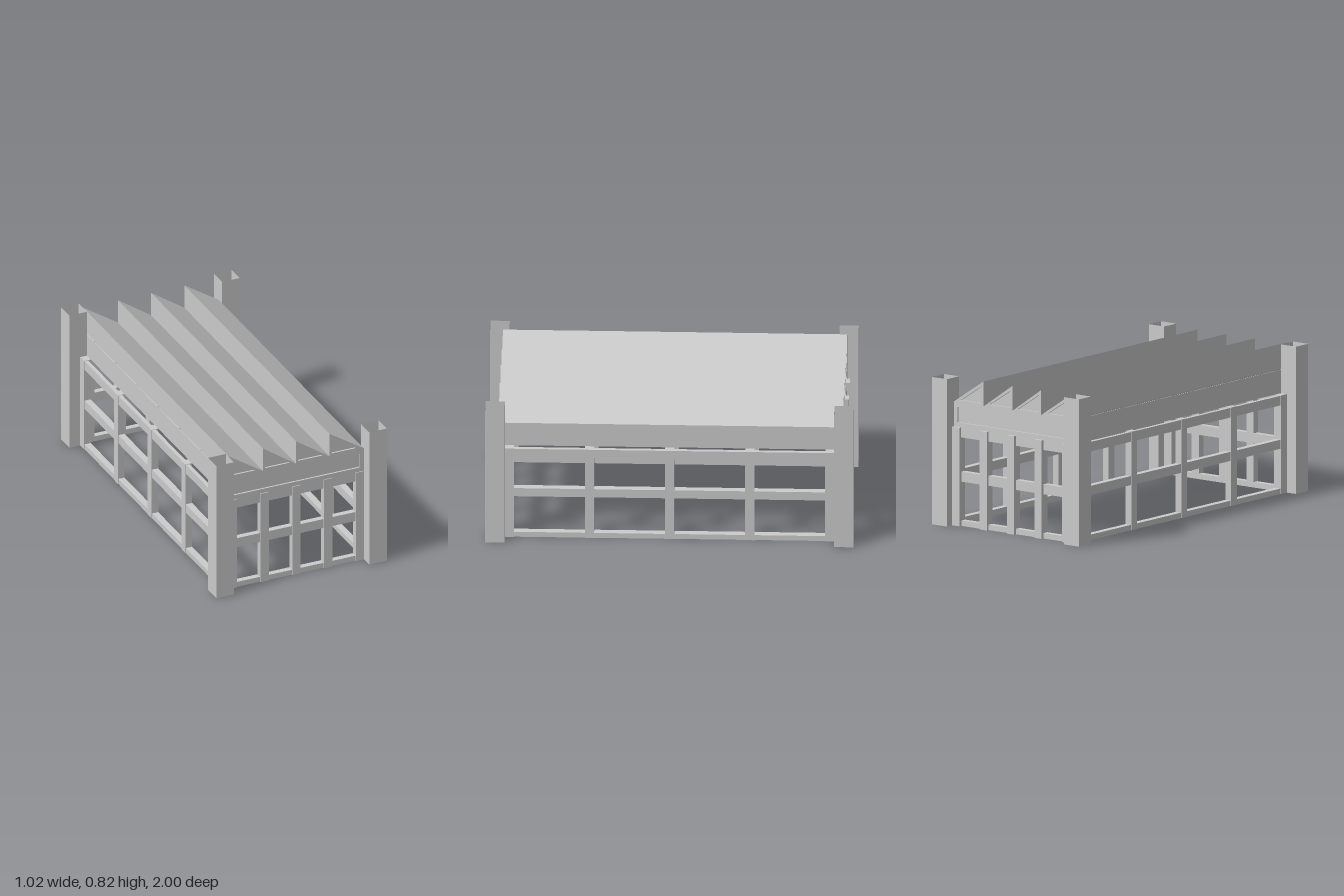
import * as THREE from 'three';

const grey = new THREE.MeshStandardMaterial({ color: 0xcccccc, flatShading: true, side: THREE.DoubleSide });
const TEETH = [-0.405, -0.198, 0, 0.2, 0.405]; // sawtooth roof steps
const LOW = 0.68, PEAK = 0.813, HALF = 0.405;

function add(parent, name, geometry) {
  const mesh = new THREE.Mesh(geometry, grey);
  mesh.name = name;
  parent.add(mesh);
  return mesh;
}

// Box given by its limits on each axis
function box(parent, name, x0, x1, y0, y1, z0, z1) {
  const mesh = add(parent, name, new THREE.BoxGeometry(x1 - x0, y1 - y0, z1 - z0));
  mesh.position.set((x0 + x1) / 2, (y0 + y1) / 2, (z0 + z1) / 2);
  return mesh;
}

function extrude(parent, name, shape, z0, z1) {
  const mesh = add(parent, name, new THREE.ExtrudeGeometry(shape, { depth: z1 - z0, bevelEnabled: false }));
  mesh.position.z = z0;
  return mesh;
}

const outline = (points, Type = THREE.Shape) => new Type(points.map(([x, y]) => new THREE.Vector2(x, y)));

// Sawtooth end wall
function gableShape(withRecesses) {
  const points = [[-HALF, 0.49]];
  for (let i = 0; i < 4; i++) points.push([TEETH[i], i ? LOW : 0.6], [TEETH[i], PEAK]);
  points.push([HALF, LOW], [HALF, 0.49]);
  const shape = outline(points);
  if (withRecesses) {
    shape.holes.push(outline([[-0.38, 0.57], [0.38, 0.57], [0.38, 0.655], [-0.38, 0.655]], THREE.Path));
    for (let i = 0; i < 4; i++) {
      const x = TEETH[i] + 0.012;
      shape.holes.push(outline([[x, 0.695], [x + 0.147, 0.695], [x, 0.79]], THREE.Path));
    }
  }
  return shape;
}

// End facade: sign panel, gable windows, posts and rails; s is +1 front, -1 back
function endWall(root, s, face, postFace) {
  const wall = new THREE.Group();
  wall.name = s > 0 ? 'frontWall' : 'backWall';
  const span = (a, b) => (s > 0 ? [a, b] : [-b, -a]);
  extrude(wall, 'gableFrame', gableShape(true), ...span(face - 0.01, face));
  extrude(wall, 'gableBacking', gableShape(false), ...span(face - 0.03, face - 0.01));
  for (const x of [-0.38, -0.19, 0, 0.19, 0.38])
    box(wall, 'endPost', x - 0.025, x + 0.025, 0, 0.545, ...span(face - 0.035, postFace));
  for (const [y0, y1] of [[0, 0.03], [0.245, 0.3]])
    box(wall, 'endRail', -HALF, HALF, y0, y1, ...span(face - 0.035, face - 0.002));
  root.add(wall);
}

// Long wall: upper panel, posts and rails; s is the side along x
function longWall(root, s) {
  const wall = new THREE.Group();
  wall.name = s > 0 ? 'leftWall' : 'rightWall';
  const span = (a, b) => (s > 0 ? [a, b] : [-b, -a]);
  box(wall, 'upperPanel', ...span(0.397, HALF), 0.545, LOW - 0.005, -0.935, 0.925);
  for (const z of [-0.87, -0.435, 0, 0.435, 0.87])
    box(wall, 'sidePost', ...span(0.405, 0.445), 0, 0.545, z - 0.025, z + 0.025);
  box(wall, 'bottomRail', ...span(0.405, 0.442), 0, 0.03, -0.925, 0.925);
  box(wall, 'middleRail', ...span(0.405, 0.442), 0.25, 0.3, -0.925, 0.925);
  box(wall, 'topRail', ...span(0.42, 0.442), 0.49, 0.543, -0.925, 0.925);
  root.add(wall);
}

// Thin folded sawtooth sheet
function roof(root) {
  const top = [], under = [];
  for (let i = 0; i < 4; i++) {
    const x = TEETH[i];
    top.push([x, LOW], [x, 0.818]);
    under.push([x + 0.006, LOW - 0.008], [x + 0.006, 0.804]);
  }
  top.push([HALF, LOW + 0.003]);
  under.push([HALF, LOW - 0.008]);
  extrude(root, 'sawtoothRoof', outline([...top, ...under.reverse()]), -0.94, 0.93);
}

// Hollow square tower, open at both ends
function tower(root, x, z) {
  const geometry = new THREE.CylinderGeometry(0.0525 * Math.SQRT2, 0.0525 * Math.SQRT2, 0.815, 4, 1, true);
  geometry.rotateY(Math.PI / 4);
  add(root, 'cornerTower', geometry).position.set(x, 0.4075, z);
}

export function createModel() {
  const root = new THREE.Group();
  root.name = 'factoryHall';
  endWall(root, 1, 0.93, 0.935);
  endWall(root, -1, 0.94, 0.955);
  for (const s of [-1, 1]) {
    longWall(root, s);
    for (const t of [-1, 1]) tower(root, s * 0.4575, t * 0.9475);
  }
  roof(root);
  return root;
}
